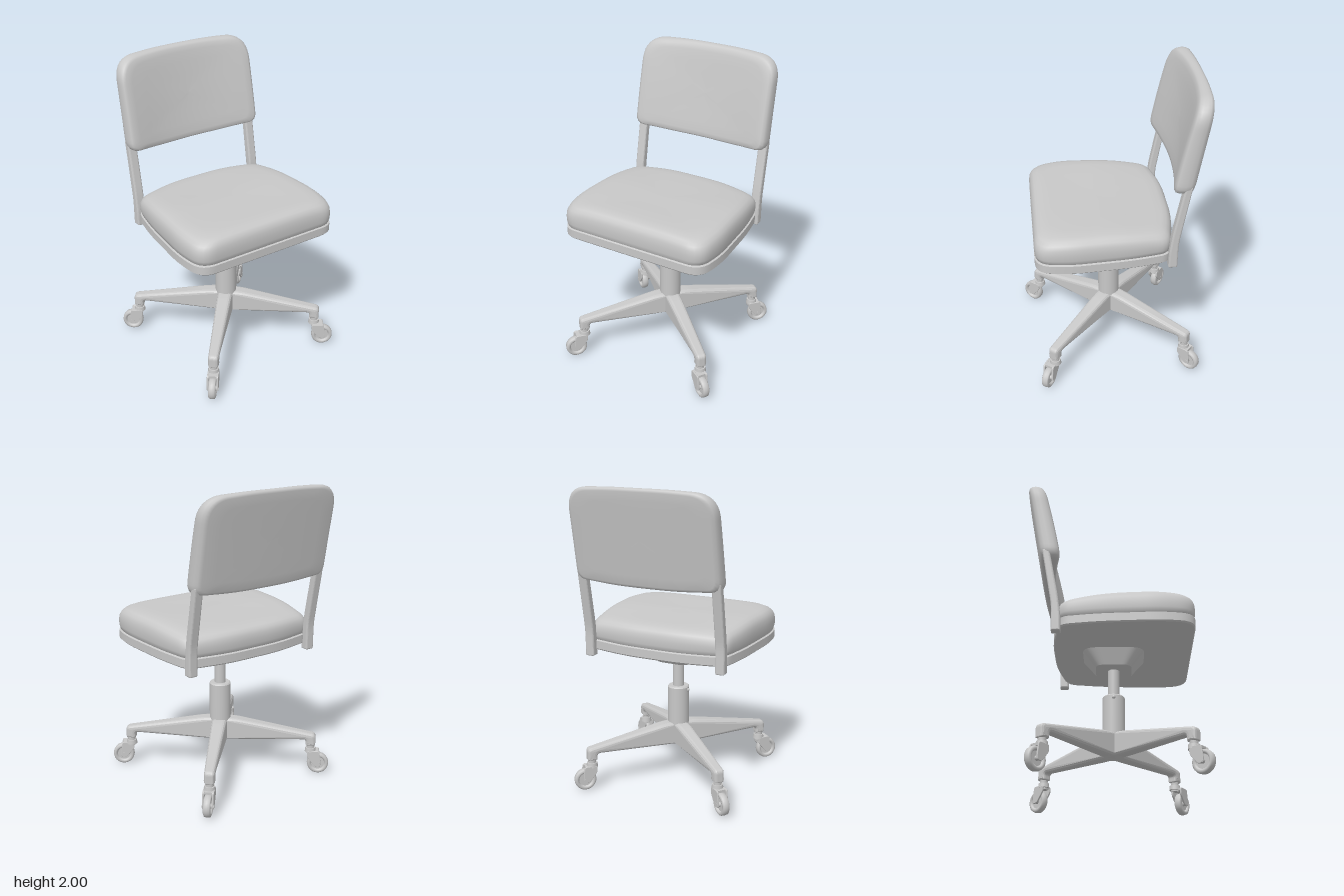
import * as THREE from 'three';

const grey = new THREE.MeshStandardMaterial({ color: 0xc8c8c8 });
grey.name = 'light grey';

function add(parent, name, geometry, x = 0, y = 0, z = 0) {
  const mesh = new THREE.Mesh(geometry, grey);
  mesh.name = name;
  mesh.position.set(x, y, z);
  parent.add(mesh);
  return mesh;
}

// Closed outline whose corners [x, y, radius] are rounded
function roundedShape(corners) {
  const shape = new THREE.Shape();
  corners.forEach(([x, y, r], i) => {
    const p = new THREE.Vector2(x, y);
    const [px, py] = corners[(i + corners.length - 1) % corners.length];
    const [nx, ny] = corners[(i + 1) % corners.length];
    const a = new THREE.Vector2(px, py).sub(p).setLength(r).add(p);
    const b = new THREE.Vector2(nx, ny).sub(p).setLength(r).add(p);
    if (i === 0) shape.moveTo(a.x, a.y);
    else shape.lineTo(a.x, a.y);
    shape.quadraticCurveTo(x, y, b.x, b.y);
  });
  shape.closePath();
  return shape;
}

// Upholstered slab: rings of one outline, each [scale, height], from base centre to top centre
function pad(shape, cx, cy, profile, bend = (v) => v) {
  const outline = shape.getSpacedPoints(120).slice(0, -1);
  const n = outline.length, pos = [], index = [], v = new THREE.Vector3();
  profile.forEach(([s, h], i) => outline.forEach((p, j) => {
    v.set(cx + (p.x - cx) * s, cy + (p.y - cy) * s, h);
    bend(v);
    pos.push(v.x, v.y, v.z);
    if (i === profile.length - 1) return;
    const a = i * n + j, b = i * n + (j + 1) % n;
    index.push(a, b, b + n, a, b + n, a + n);
  }));
  const g = new THREE.BufferGeometry();
  g.setAttribute('position', new THREE.Float32BufferAttribute(pos, 3));
  g.setIndex(index);
  g.computeVertexNormals();
  return g;
}

// Side profile extruded evenly about its own plane
function slab(shape, width, bevel) {
  const g = new THREE.ExtrudeGeometry(shape, {
    depth: width - 2 * bevel, bevelEnabled: true, bevelThickness: bevel,
    bevelSize: bevel, bevelOffset: -bevel, bevelSegments: 3, curveSegments: 6,
  });
  return g.translate(0, 0, -(width / 2 - bevel));
}

function makeSeat(root) {
  // Back edge bows out between the uprights
  const outline = roundedShape([
    [-0.505, -0.505, 0.1], [0.505, -0.505, 0.1], [0.54, -0.3, 0.1],
    [0.515, 0.1, 0.1], [0.475, 0.33, 0.06], [0.2, 0.385, 0.12],
    [-0.2, 0.385, 0.12], [-0.475, 0.33, 0.06], [-0.515, 0.1, 0.1], [-0.54, -0.3, 0.1],
  ]);
  const pan = pad(outline, 0, -0.085, [
    [0, 0.922], [0.985, 0.922], [0.985, 0.922], [1, 0.93], [1, 0.93],
    [1, 0.982], [1, 0.982], [0.97, 0.988], [0.97, 0.988], [0, 0.988],
  ]);
  add(root, 'seatPan', pan.rotateX(-Math.PI / 2));

  // Cushion sags a little at the corners and towards the back
  const cushion = pad(outline, 0, -0.085, [
    [0, 0.985], [0.96, 0.985], [0.985, 0.99], [0.998, 1.02], [1, 1.06], [0.993, 1.095],
    [0.97, 1.122], [0.93, 1.14], [0.87, 1.15], [0.75, 1.155], [0.5, 1.153], [0.25, 1.15], [0, 1.15],
  ], (v) => {
    const lift = Math.max(0, v.z - 1) / 0.15;
    const corner = Math.pow(Math.abs(v.x) / 0.53, 4) * Math.pow(Math.abs(v.y + 0.085) / 0.42, 4);
    v.z -= lift * (0.04 * Math.min(corner, 1) + 0.022 * THREE.MathUtils.smoothstep(v.y, -0.1, 0.38));
  });
  add(root, 'seatCushion', cushion.rotateX(-Math.PI / 2));

  // Tapered mounting bracket under the pan
  const plate = (hx, hz, c) => roundedShape([
    [-hx, -hz, c], [hx, -hz, c], [hx, hz, c], [-hx, hz, c],
  ]);
  const bracket = pad(plate(0.115, 0.115, 0.06), 0, 0, [
    [0, 0.82], [1, 0.82], [1, 0.82], [1, 0.925], [1, 0.925], [0, 0.925],
  ], (v) => {
    const t = (v.z - 0.82) / 0.105;
    v.x *= 1 + 0.4 * t;
    v.y *= 1 + 0.74 * t;
  });
  add(root, 'seatBracket', bracket.rotateX(-Math.PI / 2));
}

function makeBackrest(root) {
  const outline = roundedShape([
    [-0.492, 1.405, 0.06], [-0.2, 1.388, 0.1], [0.2, 1.388, 0.1], [0.492, 1.405, 0.06],
    [0.488, 1.985, 0.14], [0.2, 2, 0.1], [-0.2, 2, 0.1], [-0.488, 1.985, 0.14],
  ]);
  // Leans back; the front is hollowed around the sitter while the back stays nearly flat
  const back = pad(outline, 0, 1.69, [
    [0, 0], [0.25, 0], [0.5, 0], [0.75, 0], [0.93, 0.001], [0.975, 0.008], [0.995, 0.022],
    [1, 0.04], [0.993, 0.06], [0.975, 0.074], [0.94, 0.083], [0.85, 0.087],
    [0.65, 0.086], [0.4, 0.084], [0.2, 0.083], [0, 0.083],
  ], (v) => {
    const t = (v.y - 1.4) / 0.6;
    const wrap = (0.016 + 0.6 * v.z) * (v.x / 0.49) ** 2;
    v.z = (v.z + wrap) * (1 - 0.2 * t * t) - 0.472 - 0.106 * t;
  });
  add(root, 'backrest', back);

  const profile = roundedShape([
    [-0.378, 0.885, 0.01], [-0.32, 0.885, 0.01], [-0.322, 0.99, 0.03],
    [-0.338, 1.12, 0.05], [-0.403, 1.46, 0.01], [-0.45, 1.46, 0.01], [-0.38, 1.06, 0.05],
  ]);
  for (const side of [-1, 1]) {
    add(root, 'backUpright', slab(profile, 0.062, 0.012).rotateY(-Math.PI / 2), side * 0.456);
  }
}

// Four-legged base, turned slightly relative to the seat
const legAngle = (i) => Math.PI / 4 + 0.07 + i * Math.PI / 2;

function makeBase(root) {
  const lathe = (pts) => new THREE.LatheGeometry(pts.map(([x, y]) => new THREE.Vector2(x, y)), 32);
  add(root, 'columnSleeve', lathe([
    [0, 0.235], [0.06, 0.235], [0.071, 0.25], [0.071, 0.25], [0.071, 0.632],
    [0.071, 0.632], [0.064, 0.64], [0.064, 0.64], [0, 0.64],
  ]));
  add(root, 'columnPost', new THREE.CylinderGeometry(0.037, 0.037, 0.22, 28), 0, 0.73);
  add(root, 'columnKnob', new THREE.SphereGeometry(0.012, 12, 8), -0.07, 0.615);

  const legProfile = roundedShape([
    [0, 0.235, 0.01], [0.1, 0.235, 0.05], [0.585, 0.25, 0.02], [0.585, 0.205, 0.01],
    [0.65, 0.205, 0.01], [0.65, 0.288, 0.025], [0.1, 0.387, 0.05], [0, 0.387, 0.01],
  ]);
  for (let i = 0; i < 4; i++) {
    const leg = slab(legProfile, 0.106, 0.026);
    const p = leg.attributes.position;
    for (let k = 0; k < p.count; k++) p.setZ(k, p.getZ(k) * (1 - 0.55 * p.getX(k)));
    leg.computeVertexNormals();
    add(root, 'leg', leg).rotation.y = legAngle(i);
  }
}

// Swivelling caster: rolls along local x, wheel centre at the origin
function makeCaster() {
  const g = new THREE.Group();
  g.name = 'caster';
  const ring = (pts) => new THREE.LatheGeometry(
    pts.map(([x, y]) => new THREE.Vector2(x, y)), 28).rotateX(Math.PI / 2);
  add(g, 'wheel', ring([
    [0, -0.01], [0.044, -0.01], [0.044, -0.01], [0.049, -0.021], [0.06, -0.024], [0.07, -0.018],
    [0.073, 0], [0.07, 0.018], [0.06, 0.024], [0.049, 0.021], [0.044, 0.01], [0.044, 0.01], [0, 0.01],
  ]));
  add(g, 'axle', new THREE.CylinderGeometry(0.015, 0.015, 0.076, 16).rotateX(Math.PI / 2));
  const arm = roundedShape([
    [-0.02, -0.016, 0.012], [0.018, -0.016, 0.012], [0.018, 0.02, 0.012],
    [0.008, 0.095, 0.015], [-0.075, 0.095, 0.015], [-0.075, 0.05, 0.015],
  ]);
  for (const side of [-1, 1]) add(g, 'forkArm', slab(arm, 0.012, 0.003), 0, 0, side * 0.031);
  add(g, 'forkBridge', new THREE.BoxGeometry(0.072, 0.016, 0.06), -0.034, 0.085, 0);
  return g;
}

export function createModel() {
  const root = new THREE.Group();
  root.name = 'swivelChair';
  makeSeat(root);
  makeBackrest(root);
  makeBase(root);

  // Wheel centre [x, z] and rolling direction [dx, dz] of each caster, in leg order
  const casters = [
    [0.44, -0.5, 0.7, -0.72], [-0.508, -0.437, -0.78, -0.62],
    [-0.445, 0.515, -0.64, 0.77], [0.505, 0.452, 0.85, 0.53],
  ];
  casters.forEach(([x, z, dx, dz], i) => {
    const caster = makeCaster();
    caster.position.set(x, 0.073, z);
    caster.rotation.y = Math.atan2(-dz, dx);
    root.add(caster);
    const sx = 0.618 * Math.cos(legAngle(i)), sz = -0.618 * Math.sin(legAngle(i));
    add(root, 'casterStem', new THREE.CylinderGeometry(0.026, 0.026, 0.09, 18), sx, 0.19, sz);
    add(root, 'casterCollar', new THREE.CylinderGeometry(0.034, 0.038, 0.03, 20), sx, 0.172, sz);
  });
  return root;
}
